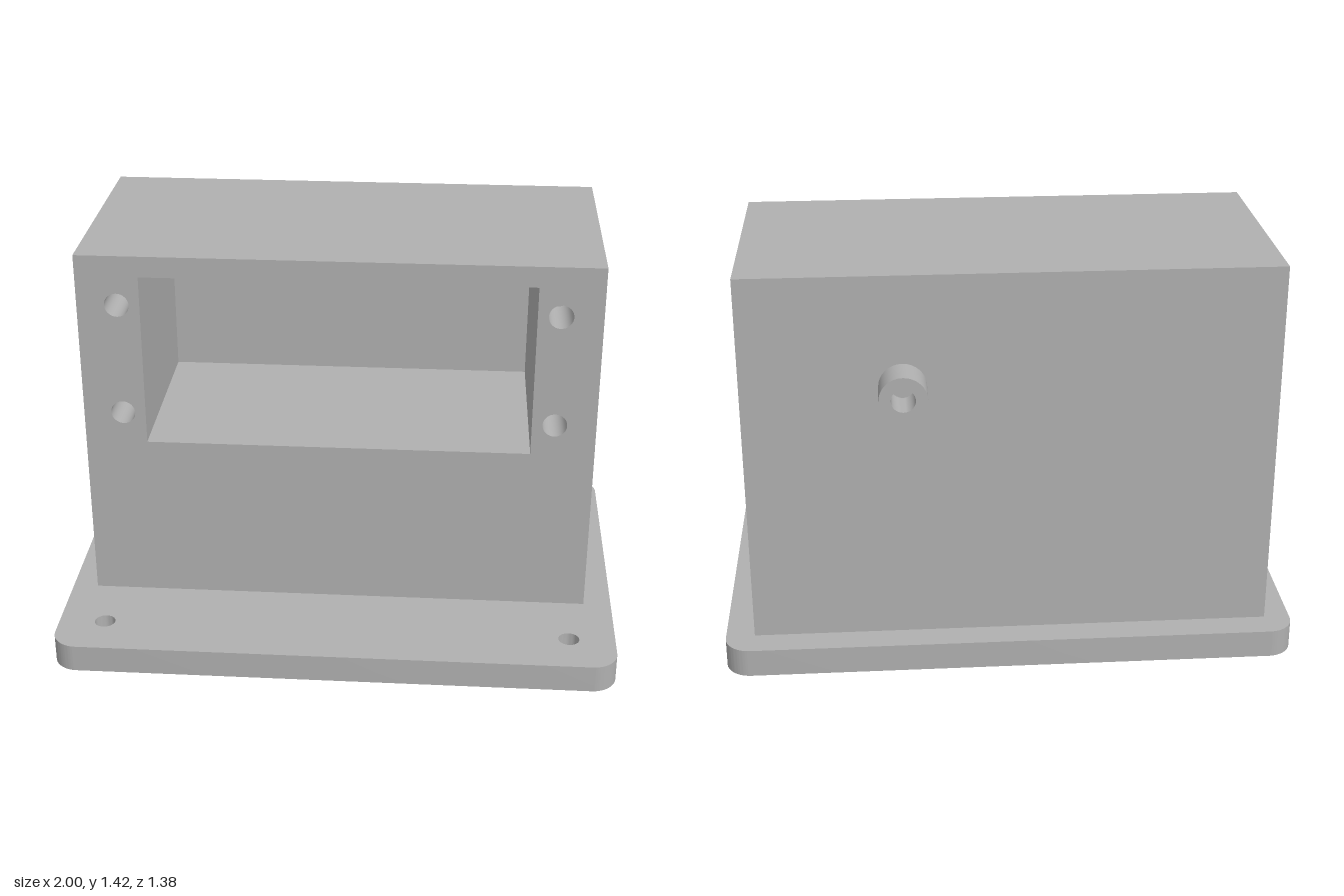
import * as THREE from 'three';
import { toCreasedNormals } from 'three/addons/utils/BufferGeometryUtils.js';

const HOLE_DEPTH = 0.2;

// Rectangle outline with optional rounded corners
function rectPath(path, x0, y0, x1, y1, r = 0) {
  if (r === 0) {
    path.moveTo(x0, y0).lineTo(x1, y0).lineTo(x1, y1).lineTo(x0, y1).closePath();
    return path;
  }
  path.moveTo(x0 + r, y0);
  path.absarc(x1 - r, y0 + r, r, -Math.PI / 2, 0);
  path.absarc(x1 - r, y1 - r, r, 0, Math.PI / 2);
  path.absarc(x0 + r, y1 - r, r, Math.PI / 2, Math.PI);
  path.absarc(x0 + r, y0 + r, r, Math.PI, Math.PI * 1.5);
  path.closePath();
  return path;
}

function circleHole(x, y, r) {
  return new THREE.Path().absarc(x, y, r, 0, Math.PI * 2, true);
}

function extrude(shape, depth) {
  const geo = new THREE.ExtrudeGeometry(shape, { depth, bevelEnabled: false, curveSegments: 16 });
  return toCreasedNormals(geo, 0.6);
}

// Box between two corners with its +z face left open
function openBox(min, max) {
  const geo = new THREE.BoxGeometry(max[0] - min[0], max[1] - min[1], max[2] - min[2]);
  geo.translate((min[0] + max[0]) / 2, (min[1] + max[1]) / 2, (min[2] + max[2]) / 2);
  const index = Array.from(geo.index.array);
  index.splice(24, 6);
  geo.setIndex(index);
  geo.clearGroups();
  return geo;
}

// Turn a closed surface inside out, for recesses
function invert(geo) {
  geo.setIndex(Array.from(geo.index.array).reverse());
  const n = geo.attributes.normal;
  for (let i = 0; i < n.count; i++) n.setXYZ(i, -n.getX(i), -n.getY(i), -n.getZ(i));
  return geo;
}

export function createModel() {
  const model = new THREE.Group();
  const grey = new THREE.MeshStandardMaterial({ color: 0xb0b0b0 });
  grey.name = 'grey';

  const add = (name, geo, parent = model) => {
    const mesh = new THREE.Mesh(geo, grey);
    mesh.name = name;
    parent.add(mesh);
    return mesh;
  };

  // Base plate with four mounting holes, drawn in plan (shape y = -z)
  const plate = rectPath(new THREE.Shape(), -1, -0.69, 1, 0.675, 0.09);
  for (const x of [-0.835, 0.835]) {
    for (const z of [-0.52, 0.52]) plate.holes.push(circleHole(x, -z, 0.037));
  }
  add('basePlate', extrude(plate, 0.1).rotateX(-Math.PI / 2));

  // Housing: shell, pierced front face and window recess
  const housing = new THREE.Group();
  housing.name = 'housing';
  model.add(housing);
  const front = 0.285;
  add('housingShell', openBox([-0.91, 0.1, -0.573], [0.9, 1.42, front]), housing);

  const face = rectPath(new THREE.Shape(), -0.91, 0.1, 0.9, 1.42);
  face.holes.push(rectPath(new THREE.Path(), -0.69, 0.715, 0.675, 1.345));
  const screws = [];
  for (const x of [-0.77, 0.755]) for (const y of [0.83, 1.24]) screws.push([x, y]);
  for (const [x, y] of screws) face.holes.push(circleHole(x, y, 0.043));
  add('frontFace', new THREE.ShapeGeometry(face, 16).translate(0, 0, front), housing);
  add('windowRecess', invert(openBox([-0.69, 0.715, -0.41], [0.675, 1.345, front])), housing);

  // Blind screw holes beside the window
  for (const [x, y] of screws) {
    const wall = new THREE.CylinderGeometry(0.043, 0.043, HOLE_DEPTH, 32, 1, true);
    wall.rotateX(Math.PI / 2);
    add('screwHoleWall', invert(wall), housing).position.set(x, y, front - HOLE_DEPTH / 2);
    add('screwHoleEnd', new THREE.CircleGeometry(0.043, 32), housing)
      .position.set(x, y, front - HOLE_DEPTH);
  }

  // Tubular cable outlet on the back
  const ring = new THREE.Shape().absarc(0, 0, 0.081, 0, Math.PI * 2);
  ring.holes.push(circleHole(0, 0, 0.041));
  add('cableOutlet', extrude(ring, 0.122)).position.set(0.36, 1.033, -0.695);

  return model;
}
